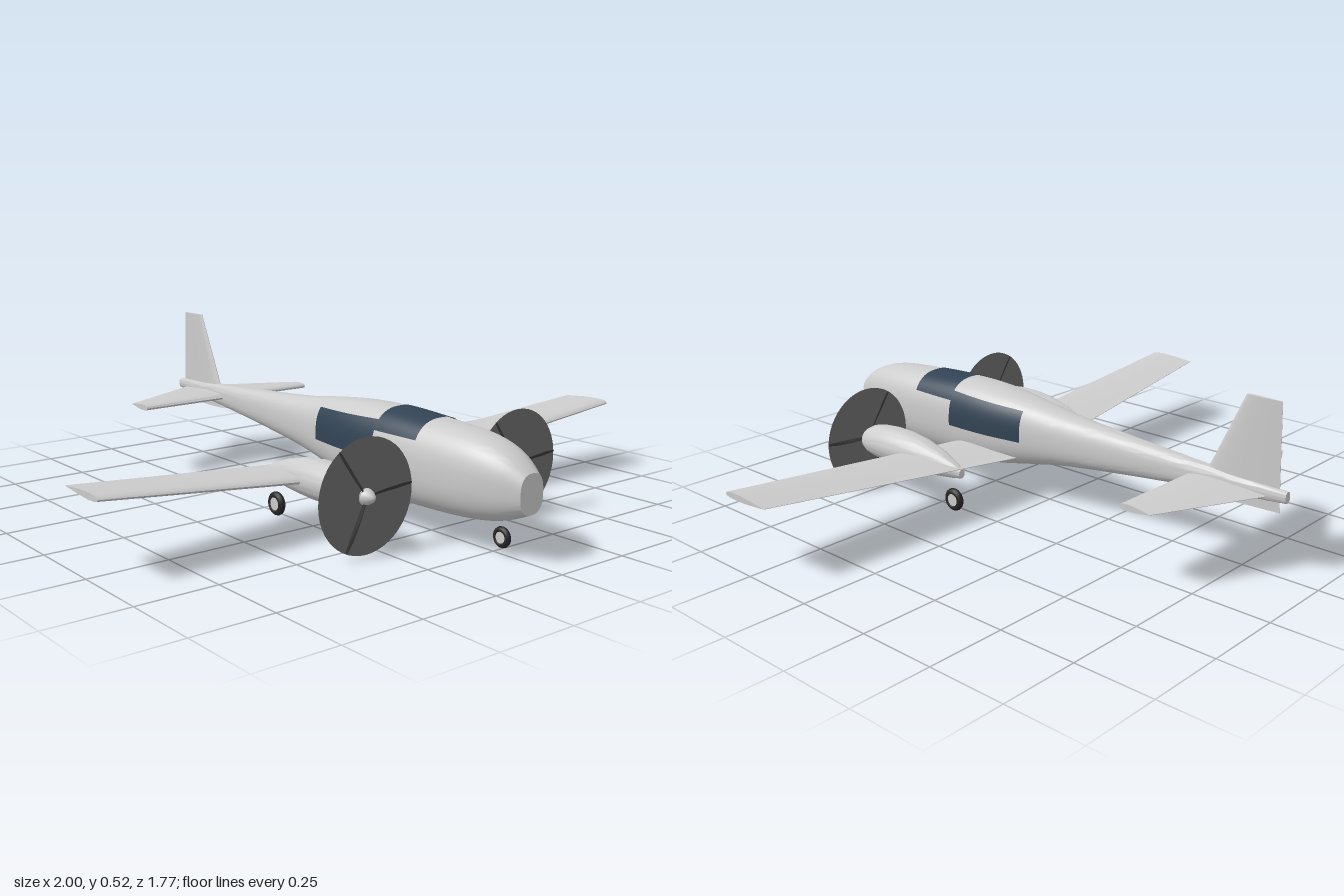
import * as THREE from 'three';
import { toCreasedNormals } from 'three/addons/utils/BufferGeometryUtils.js';

const mat = (name, color, side = THREE.FrontSide) => {
  const m = new THREE.MeshStandardMaterial({ color, side });
  m.name = name;
  return m;
};

// Fuselage stations: z, top, bottom, half width
const STATIONS = [
  [0.885, 0.255, 0.138, 0.045], [0.84, 0.29, 0.118, 0.066], [0.78, 0.317, 0.1, 0.085],
  [0.7, 0.334, 0.088, 0.1], [0.55, 0.345, 0.08, 0.11], [0.35, 0.354, 0.079, 0.112],
  [0.2, 0.35, 0.09, 0.107], [0.06, 0.336, 0.117, 0.087], [-0.08, 0.317, 0.144, 0.067],
  [-0.3, 0.3, 0.172, 0.047], [-0.55, 0.284, 0.199, 0.03], [-0.885, 0.265, 0.23, 0.012],
];
const POWER = 2.5;

// Smooth interpolation between stations
function section(z) {
  let i = 0;
  while (i < STATIONS.length - 2 && z < STATIONS[i + 1][0]) i++;
  const at = (k) => STATIONS[Math.max(0, Math.min(STATIONS.length - 1, k))];
  const [p, a, b, n] = [at(i - 1), at(i), at(i + 1), at(i + 2)];
  const d = b[0] - a[0], t = (z - a[0]) / d;
  const [top, bottom, half] = [1, 2, 3].map((c) => {
    const ma = ((b[c] - p[c]) / (b[0] - p[0])) * d, mb = ((n[c] - a[c]) / (n[0] - a[0])) * d;
    return (2 * t ** 3 - 3 * t * t + 1) * a[c] + (t ** 3 - 2 * t * t + t) * ma
      + (3 * t * t - 2 * t ** 3) * b[c] + (t ** 3 - t * t) * mb;
  });
  return { yc: (top + bottom) / 2, h: (top - bottom) / 2, half };
}

// Point on the rounded fuselage skin, lifted by an offset
function skin(z, angle, lift = 0) {
  const { yc, h, half } = section(z);
  const f = (v) => Math.sign(v) * Math.abs(v) ** (2 / POWER);
  return new THREE.Vector3((half + lift) * f(Math.cos(angle)), yc + (h + lift) * f(Math.sin(angle)), z);
}

// Skin angle at a given height
function angleAt(z, y) {
  const { yc, h } = section(z), v = (y - yc) / h;
  return Math.asin(Math.sign(v) * Math.min(1, Math.abs(v)) ** (POWER / 2));
}

// Surface through rows of points; closed rows get end caps
function loft(rows, closed = true, crease = 0.7) {
  const n = rows[0].length, pts = rows.flat(), tris = [];
  for (let r = 0; r < rows.length - 1; r++) {
    for (let i = 0; i < (closed ? n : n - 1); i++) {
      const j = (i + 1) % n, a = r * n + i, b = r * n + j;
      tris.push([a, b, b + n], [a, b + n, a + n]);
    }
  }
  if (closed) {
    [0, rows.length - 1].forEach((r) => {
      const c = pts.length;
      pts.push(rows[r].reduce((s, p) => s.add(p), new THREE.Vector3()).divideScalar(n));
      for (let i = 0; i < n; i++) {
        const a = r * n + i, b = r * n + ((i + 1) % n);
        tris.push(r ? [a, b, c] : [b, a, c]);
      }
    });
    // Turn the faces outward
    const v = new THREE.Vector3();
    const volume = tris.reduce((s, [a, b, c]) => s + pts[a].dot(v.crossVectors(pts[b], pts[c])), 0);
    if (volume < 0) tris.forEach((t) => t.reverse());
  }
  const g = new THREE.BufferGeometry().setFromPoints(pts);
  g.setIndex(tris.flat());
  if (closed) return toCreasedNormals(g, crease);
  g.computeVertexNormals();
  return g;
}

// Airfoil outline between a leading and trailing z: [chord, offset, thickness] to a point
const AIRFOIL = [[0, 0], [0.03, 0.55], [0.12, 0.88], [0.3, 1], [0.55, 0.8], [0.8, 0.4], [1, 0.06]];
function foil(lead, trail, thick, place) {
  const p = ([c, t], s) => place(lead + (trail - lead) * c, (s * t * thick) / 2);
  return [...AIRFOIL.map((q) => p(q, 1)), ...AIRFOIL.slice(1).reverse().map((q) => p(q, -1))];
}

export function createModel() {
  const body = mat('light grey paint', 0xcccccc);
  const glass = mat('dark blue glass', 0x324354, THREE.DoubleSide);
  const disc = mat('propeller blur grey', 0x6c6c6c, THREE.DoubleSide);
  const blade = mat('blade grey', 0x3c3c3c);
  const rubber = mat('tyre black', 0x262626);

  const model = new THREE.Group();
  model.name = 'twinPropellerAeroplane';
  const add = (parent, name, geometry, material, x = 0, y = 0, z = 0) => {
    const m = new THREE.Mesh(geometry, material);
    m.name = name;
    m.position.set(x, y, z);
    parent.add(m);
    return m;
  };
  const steps = (n, a, b) => Array.from({ length: n + 1 }, (_, i) => a + ((b - a) * i) / n);

  // Fuselage
  const around = steps(48, 0, Math.PI * 2).slice(0, -1);
  add(model, 'fuselage', loft(steps(60, 0.885, -0.885).map((z) => around.map((a) => skin(z, a)))), body);

  // Windscreen wraps over the top; side windows run aft
  add(model, 'windscreen', loft(steps(8, 0.53, 0.355).map((z) => {
    const a = angleAt(z, 0.293);
    return steps(32, a, Math.PI - a).map((t) => skin(z, t, 0.002));
  }), false), glass);
  for (const side of [1, -1]) {
    add(model, side > 0 ? 'leftWindow' : 'rightWindow', loft(steps(16, 0.355, 0.055).map((z) => {
      const top = 0.31 + ((z - 0.055) / 0.3) * 0.013;
      return steps(12, angleAt(z, 0.21), angleAt(z, top)).map((t) => {
        const p = skin(z, t, 0.002);
        p.x *= side;
        return p;
      });
    }), false), glass);
  }

  // Wing with dihedral, tailplane and fin
  add(model, 'wing', loft([-1, 0, 1].map((x) => {
    const k = Math.abs(x);
    return foil(0.335, 0.075 + 0.08 * k, 0.032 - 0.012 * k,
      (z, t) => new THREE.Vector3(x, 0.14 + 0.095 * k + t, z));
  })), body);
  add(model, 'tailplane', loft([-0.34, 0, 0.34].map((x) => {
    const k = Math.abs(x) / 0.34;
    return foil(-0.56, -0.835 + 0.17 * k, 0.026 - 0.006 * k,
      (z, t) => new THREE.Vector3(x, 0.241 + t, z));
  })), body);
  add(model, 'fin', loft([[0.195, -0.583, -0.861, 0.026], [0.52, -0.735, -0.85, 0.012]].map(
    ([y, lead, trail, thick]) => foil(lead, trail, thick, (z, t) => new THREE.Vector3(t, y, z)))), body);

  // Nacelle stations: z, centre height, half width, half height
  const NACELLE = [
    [0.555, 0.17, 0.024, 0.024], [0.54, 0.17, 0.038, 0.036], [0.515, 0.172, 0.05, 0.048],
    [0.48, 0.174, 0.057, 0.055], [0.42, 0.175, 0.061, 0.06], [0.35, 0.175, 0.061, 0.06],
    [0.28, 0.173, 0.053, 0.055], [0.2, 0.166, 0.038, 0.043], [0.13, 0.157, 0.021, 0.026],
    [0.1, 0.152, 0.012, 0.014],
  ];
  const nacelleGeometry = loft(NACELLE.map(([z, y, w, h]) =>
    around.map((a) => new THREE.Vector3(w * Math.cos(a), y + h * Math.sin(a), z))));

  // Tapered, pitched propeller blade
  const bladeGeometry = loft([[0.01, 0.013, 0.9], [0.07, 0.02, 0.7], [0.13, 0.017, 0.5], [0.167, 0.008, 0.4]].map(
    ([r, w, twist]) => steps(8, 0, Math.PI * 2).slice(0, -1).map((a) => {
      const u = (w / 2) * Math.cos(a), v = 0.0025 * Math.sin(a);
      return new THREE.Vector3(r, u * Math.cos(twist) - v * Math.sin(twist),
        u * Math.sin(twist) + v * Math.cos(twist));
    })));
  const spinnerGeometry = new THREE.LatheGeometry(
    [[0.024, 0], [0.021, 0.012], [0.014, 0.024], [0.006, 0.032], [0, 0.034]]
      .map(([r, y]) => new THREE.Vector2(r, y)), 24).rotateX(Math.PI / 2);

  // Wheel with rounded tyre and pale hub
  const addWheel = (name, x, y, z, r) => {
    const wheel = new THREE.Group();
    wheel.name = name;
    wheel.position.set(x, y, z);
    const tube = r * 0.3;
    add(wheel, 'tyre', new THREE.TorusGeometry(r - tube, tube, 12, 32).rotateY(Math.PI / 2), rubber);
    add(wheel, 'hub', new THREE.CylinderGeometry(r * 0.62, r * 0.62, r * 0.5, 24).rotateZ(Math.PI / 2), body);
    model.add(wheel);
  };

  // Engines, propellers and main wheels on both sides
  for (const side of [1, -1]) {
    const label = side > 0 ? 'left' : 'right';
    add(model, label + 'Nacelle', nacelleGeometry, body, side * 0.302);
    const prop = new THREE.Group();
    prop.name = label + 'Propeller';
    prop.position.set(side * 0.3, 0.17, 0.554);
    add(prop, 'spinningDisc', new THREE.CircleGeometry(0.168, 48), disc);
    add(prop, 'spinner', spinnerGeometry, body);
    for (let i = 0; i < 3; i++) {
      add(prop, 'blade', bladeGeometry, blade).rotation.z = 0.08 + (i * Math.PI * 2) / 3;
    }
    model.add(prop);
    addWheel(label + 'MainWheel', side * 0.302, 0.056, 0.138, 0.037);
  }
  addWheel('noseWheel', 0, 0.051, 0.782, 0.031);

  return model;
}
